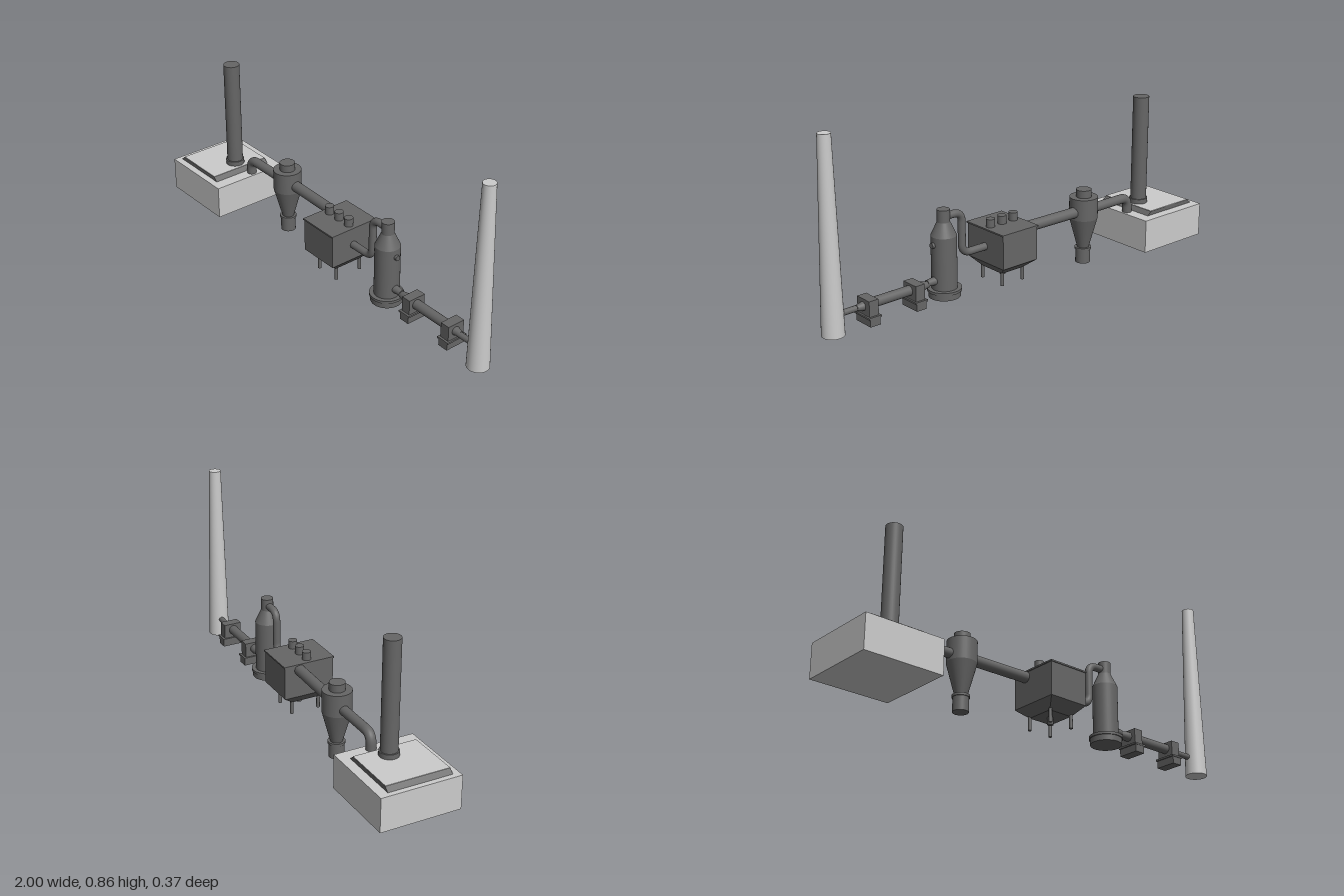
import * as THREE from 'three';

const light = new THREE.MeshStandardMaterial({ color: 0xcccccc });
const dark = new THREE.MeshStandardMaterial({ color: 0x666666 });

export function createModel() {
  const model = new THREE.Group();

  const add = (name, geo, x, y, z, mat = dark, parent = model) => {
    const m = new THREE.Mesh(geo, mat);
    m.name = name;
    m.position.set(x, y, z);
    parent.add(m);
    return m;
  };
  const group = (name, x, z) => {
    const g = new THREE.Group();
    g.name = name;
    g.position.set(x, 0, z);
    model.add(g);
    return g;
  };
  // upright cylinder or cone between two heights
  const column = (name, x, z, y0, y1, r0, r1 = r0, mat = dark, parent = model) =>
    add(name, new THREE.CylinderGeometry(r1, r0, y1 - y0, 32), x, (y0 + y1) / 2, z, mat, parent);
  // cylinder or cone lying along x
  const bar = (name, x0, x1, y, z, r0, r1 = r0) => {
    const m = add(name, new THREE.CylinderGeometry(r1, r0, x1 - x0, 24), (x0 + x1) / 2, y, z);
    m.rotation.z = -Math.PI / 2;
    return m;
  };
  const block = (name, x, z, y0, y1, w, d, mat = dark, parent = model) =>
    add(name, new THREE.BoxGeometry(w, y1 - y0, d), x, (y0 + y1) / 2, z, mat, parent);
  // box whose bottom face has a different size from its top face
  const taperedBlock = (name, x, z, y0, y1, top, bottom, parent = model) => {
    const geo = new THREE.BoxGeometry(1, y1 - y0, 1);
    const p = geo.attributes.position;
    for (let i = 0; i < p.count; i++) {
      const s = p.getY(i) > 0 ? top : bottom;
      p.setX(i, p.getX(i) * s[0]);
      p.setZ(i, p.getZ(i) * s[1]);
    }
    geo.computeVertexNormals();
    return add(name, geo, x, (y0 + y1) / 2, z, dark, parent);
  };
  // pipe through corner points, with rounded elbows
  const pipe = (name, pts, r, bend) => {
    const v = pts.map(p => new THREE.Vector3(...p));
    const path = new THREE.CurvePath();
    let from = v[0];
    for (let i = 1; i < v.length - 1; i++) {
      const a = v[i].clone().add(v[i - 1].clone().sub(v[i]).setLength(bend));
      const b = v[i].clone().add(v[i + 1].clone().sub(v[i]).setLength(bend));
      path.add(new THREE.LineCurve3(from, a));
      path.add(new THREE.QuadraticBezierCurve3(a, v[i], b));
      from = b;
    }
    path.add(new THREE.LineCurve3(from, v[v.length - 1]));
    return add(name, new THREE.TubeGeometry(path, 80, r, 20), 0, 0, 0);
  };

  // furnace building with sloped roof deck and flue
  const furnace = group('furnaceBuilding', -0.815, 0);
  block('furnaceHall', 0, 0.001, 0.02, 0.175, 0.37, 0.37, light, furnace);
  taperedBlock('roofCurb', -0.017, 0.007, 0.175, 0.193, [0.25, 0.295], [0.29, 0.295], furnace);
  block('roofDeck', -0.017, 0.007, 0.19, 0.195, 0.25, 0.293, light, furnace);
  column('flueCollar', 0.054, -0.006, 0.175, 0.217, 0.043, 0.043, dark, furnace);
  column('flue', 0.054, -0.006, 0.2, 0.71, 0.037, 0.037, dark, furnace);

  // duct from furnace to cyclone, then to filter house
  pipe('furnaceDuct', [[-0.66, 0.17, -0.03], [-0.66, 0.245, -0.03], [-0.39, 0.245, -0.03]], 0.022, 0.045);
  pipe('cycloneDuct', [[-0.37, 0.25, -0.033], [-0.03, 0.25, -0.025]], 0.025, 0);

  // cyclone separator
  const cyclone = group('cyclone', -0.378, -0.03);
  column('cycloneCap', 0, 0, 0.31, 0.35, 0.035, 0.035, dark, cyclone);
  column('cycloneBarrel', 0, 0, 0.215, 0.315, 0.065, 0.065, dark, cyclone);
  column('cycloneCone', 0, 0, 0.07, 0.215, 0.026, 0.065, dark, cyclone);
  column('dustBinLid', 0, 0, 0.063, 0.074, 0.038, 0.038, dark, cyclone);
  column('dustBin', 0, 0, 0, 0.066, 0.034, 0.034, dark, cyclone);

  // filter house with hopper, legs and roof vents
  const filter = group('filterHouse', 0.063, 0.022);
  block('filterCasing', 0, 0, 0.12, 0.274, 0.194, 0.237, dark, filter);
  block('filterLid', 0, 0, 0.272, 0.279, 0.202, 0.245, dark, filter);
  taperedBlock('hopper', 0, 0, 0.077, 0.12, [0.194, 0.237], [0.12, 0.13], filter);
  column('hopperOutlet', 0, 0, 0.043, 0.08, 0.013, 0.013, dark, filter);
  for (const sx of [-1, 1])
    for (const sz of [-1, 1])
      column('filterLeg', sx * 0.058, sz * 0.066, 0.022, 0.1, 0.008, 0.008, dark, filter);
  for (const x of [-0.065, 0, 0.065])
    column('roofVent', x, 0.003, 0.275, 0.316, 0.02, 0.02, dark, filter);

  // duct rising from filter house to scrubber top
  pipe('scrubberDuct', [[0.15, 0.195, 0.025], [0.288, 0.195, 0.025],
    [0.288, 0.386, 0.025], [0.385, 0.386, 0.025]], 0.017, 0.045);

  // scrubber tower
  const scrubber = group('scrubber', 0.385, 0.026);
  column('scrubberBase', 0, 0, 0.03, 0.06, 0.07, 0.07, dark, scrubber);
  column('baseRim', 0, 0, 0.056, 0.068, 0.075, 0.075, dark, scrubber);
  column('scrubberBody', 0, 0, 0.06, 0.305, 0.056, 0.056, dark, scrubber);
  column('scrubberShoulder', 0, 0, 0.305, 0.365, 0.056, 0.028, dark, scrubber);
  column('scrubberNeck', 0, 0, 0.365, 0.42, 0.028, 0.028, dark, scrubber);
  bar('inspectionPort', 0.42, 0.452, 0.27, 0.026, 0.012);

  // fan line: tapered connectors, duct and two fans
  const lineZ = 0.025;
  bar('scrubberOutlet', 0.43, 0.48, 0.11, lineZ, 0.019, 0.014);
  bar('fanInletCone', 0.475, 0.51, 0.104, lineZ, 0.014, 0.021);
  bar('fanInlet', 0.51, 0.55, 0.104, lineZ, 0.021);
  bar('fanDuct', 0.55, 0.785, 0.104, lineZ, 0.022);
  bar('fanOutletCone', 0.8, 0.84, 0.102, lineZ, 0.021, 0.013);
  bar('stackDuct', 0.83, 0.92, 0.1, lineZ + 0.003, 0.013);
  for (const x of [0.549, 0.785]) {
    const fan = group('fan', x, lineZ - 0.003);
    block('fanHousing', 0, 0, 0.06, 0.135, 0.046, 0.085, dark, fan);
    block('fanPlate', 0, 0, 0.058, 0.066, 0.062, 0.105, dark, fan);
    block('fanPlinth', 0, 0, 0.025, 0.06, 0.05, 0.1, dark, fan);
  }

  // main chimney
  column('chimney', 0.951, 0.033, 0.015, 0.862, 0.049, 0.028, light);

  return model;
}
